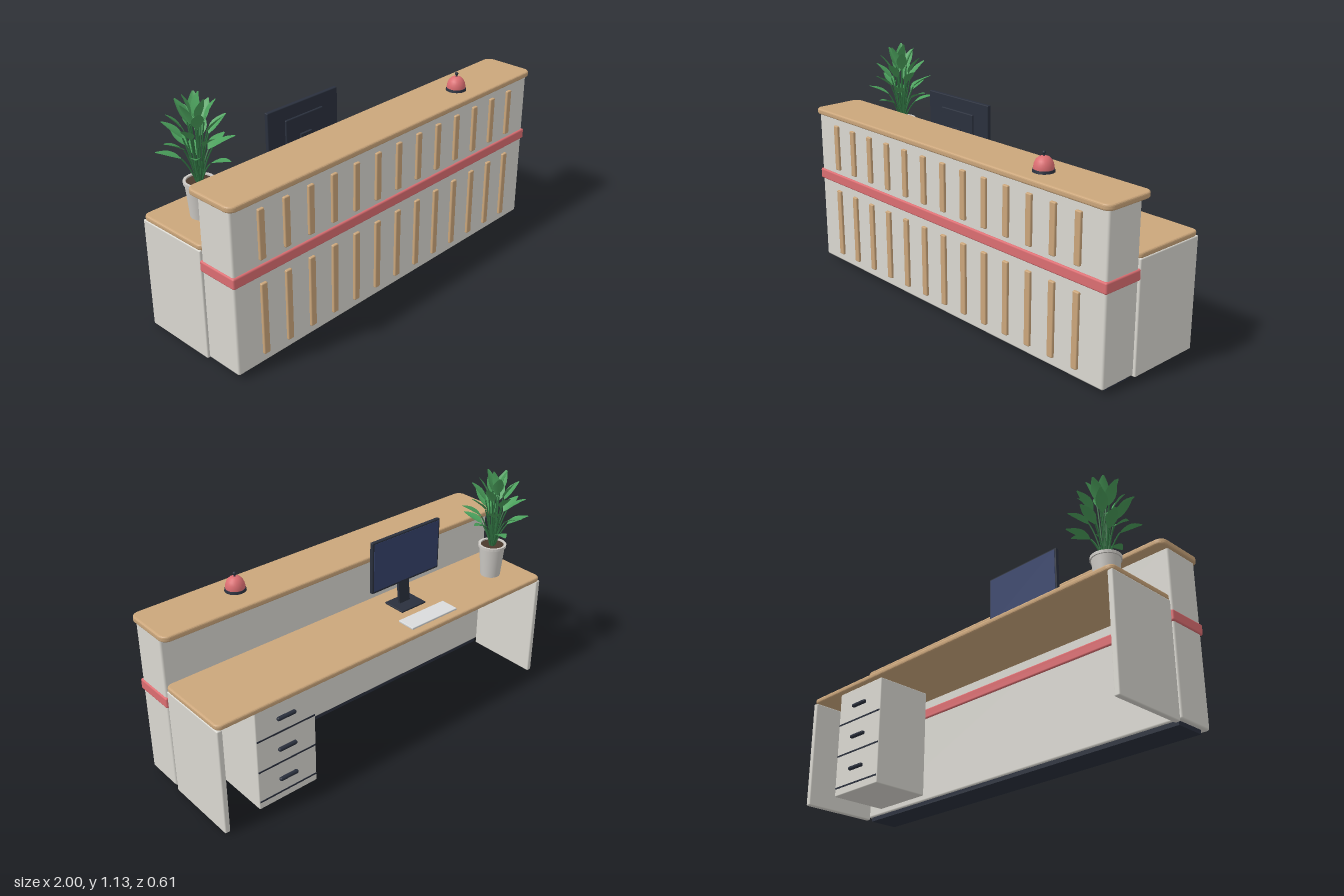
import * as THREE from 'three';
import { RoundedBoxGeometry } from 'three/addons/geometries/RoundedBoxGeometry.js';

const material = (name, color, side = THREE.FrontSide) => {
  const m = new THREE.MeshStandardMaterial({ color, side });
  m.name = name;
  return m;
};

export function createModel() {
  const wood = material('wood', 0xcba67b);
  const panel = material('panel white', 0xdad8d1);
  const coral = material('coral', 0xdc6e72);
  const dark = material('dark charcoal', 0x2a303d);
  const screenBlue = material('screen blue', 0x35426b);
  const leafGreen = material('leaf green', 0x4a9f5b, THREE.DoubleSide);
  const stemGreen = material('stem green', 0x2f7040);
  const potGrey = material('pot grey', 0xcdcac5);
  const keyGrey = material('keyboard grey', 0xd9dbdc);
  const soilBrown = material('soil brown', 0x4a392c);

  const model = new THREE.Group();
  model.name = 'receptionDesk';

  const add = (parent, name, geometry, mat, x = 0, y = 0, z = 0) => {
    const mesh = new THREE.Mesh(geometry, mat);
    mesh.name = name;
    mesh.position.set(x, y, z);
    parent.add(mesh);
    return mesh;
  };
  const group = (name, x = 0, y = 0, z = 0) => {
    const g = new THREE.Group();
    g.name = name;
    g.position.set(x, y, z);
    model.add(g);
    return g;
  };
  // Box given by its limits on each axis, with optional rounded edges
  const box = (parent, name, mat, [x0, x1], [y0, y1], [z0, z1], r = 0) => {
    const s = [x1 - x0, y1 - y0, z1 - z0];
    const geo = r ? new RoundedBoxGeometry(...s, 2, r) : new THREE.BoxGeometry(...s);
    return add(parent, name, geo, mat, (x0 + x1) / 2, (y0 + y1) / 2, (z0 + z1) / 2);
  };
  // Horizontal board with rounded plan corners and soft edges
  const slab = (name, mat, hx, [y0, y1], [z0, z1], corner) => {
    const b = 0.009, w = hx - b, d = (z1 - z0) / 2 - b, c = corner - b;
    const s = new THREE.Shape();
    s.absarc(w - c, d - c, c, 0, Math.PI / 2);
    s.absarc(-w + c, d - c, c, Math.PI / 2, Math.PI);
    s.absarc(-w + c, -d + c, c, Math.PI, Math.PI * 1.5);
    s.absarc(w - c, -d + c, c, Math.PI * 1.5, Math.PI * 2);
    const geo = new THREE.ExtrudeGeometry(s, {
      depth: y1 - y0 - 2 * b, bevelThickness: b, bevelSize: b, bevelSegments: 3, curveSegments: 6,
    });
    geo.rotateX(-Math.PI / 2);
    return add(model, name, geo, mat, 0, y0 + b, (z0 + z1) / 2);
  };

  // Front counter
  box(model, 'plinth', dark, [-0.965, 0.965], [0, 0.03], [0.095, 0.245]);
  box(model, 'counterBody', panel, [-0.985, 0.985], [0.02, 0.81], [0.088, 0.284], 0.01);
  box(model, 'accentBand', coral, [-0.992, 0.992], [0.453, 0.505], [0.08, 0.293], 0.008);
  slab('counterTop', wood, 1, [0.803, 0.832], [0.033, 0.304], 0.04);

  // Two rows of decorative slats
  const slats = group('slats');
  for (let i = 0; i < 13; i++) {
    const x = -0.832 + i * 0.1387;
    for (const y of [[0.53, 0.765], [0.065, 0.417]])
      box(slats, 'slat', wood, [x - 0.0165, x + 0.0165], y, [0.278, 0.297], 0.005);
  }

  // Work desk behind the counter
  slab('deskTop', wood, 0.985, [0.543, 0.57], [-0.306, 0.088], 0.03);
  for (const s of [-1, 1])
    box(model, 'sidePanel', panel, [s * 0.972 - 0.0135, s * 0.972 + 0.0135], [0.004, 0.545], [-0.304, 0.078], 0.006);

  // Drawer unit facing the back
  const drawers = group('drawerUnit');
  box(drawers, 'drawerCabinet', panel, [0.466, 0.786], [0.01, 0.545], [-0.28, 0.01], 0.005);
  for (const y of [0.05, 0.213, 0.376]) {
    box(drawers, 'drawerGap', dark, [0.47, 0.782], [y - 0.004, y + 0.004], [-0.282, -0.276]);
    box(drawers, 'drawerHandle', dark, [0.576, 0.676], [y + 0.066, y + 0.084], [-0.296, -0.276], 0.008);
  }

  // Monitor, its screen towards the back
  const monitor = group('monitor', -0.272, 0, 0);
  box(monitor, 'monitorBase', dark, [-0.077, 0.077], [0.57, 0.579], [-0.123, 0], 0.003);
  const neck = box(monitor, 'monitorNeck', dark, [-0.033, 0.033], [0.572, 0.81], [-0.047, -0.033]);
  neck.rotation.x = 0.1;
  box(monitor, 'monitorFrame', dark, [-0.214, 0.214], [0.695, 0.958], [-0.061, -0.041], 0.004);
  box(monitor, 'monitorBackCover', dark, [-0.114, 0.114], [0.755, 0.895], [-0.045, -0.032], 0.004);
  box(monitor, 'screen', screenBlue, [-0.205, 0.205], [0.706, 0.95], [-0.0625, -0.0595]);

  box(model, 'keyboard', keyGrey, [-0.417, -0.127], [0.569, 0.58], [-0.268, -0.172], 0.003);

  // Call bell
  const bell = group('callBell', 0.535, 0.832, 0.185);
  add(bell, 'bellBase', new THREE.CylinderGeometry(0.047, 0.05, 0.012, 28), dark, 0, 0.006, 0);
  const dome = [[0.045, 0.011], [0.045, 0.022], [0.042, 0.036], [0.035, 0.051], [0.024, 0.062], [0.012, 0.067], [0, 0.068]];
  add(bell, 'bellDome', new THREE.LatheGeometry(dome.map(p => new THREE.Vector2(...p)), 28), coral);
  add(bell, 'bellStem', new THREE.CylinderGeometry(0.004, 0.004, 0.018, 10), dark, 0, 0.074, 0);
  add(bell, 'bellButton', new THREE.SphereGeometry(0.008, 12, 8), dark, 0, 0.082, 0);

  // Potted plant
  const plant = group('pottedPlant', -0.813, 0.57, -0.117);
  add(plant, 'pot', new THREE.CylinderGeometry(0.064, 0.05, 0.158, 24), potGrey, 0, 0.079, 0);
  const rim = [[0.058, 0.156], [0.07, 0.156], [0.07, 0.17], [0.058, 0.17], [0.058, 0.156]];
  const rimGeo = new THREE.LatheGeometry(rim.map(p => new THREE.Vector2(...p)), 24).toNonIndexed();
  rimGeo.computeVertexNormals();
  add(plant, 'potRim', rimGeo, potGrey);
  add(plant, 'soil', new THREE.CylinderGeometry(0.059, 0.059, 0.006, 24), soilBrown, 0, 0.16, 0);

  // Leaf blade: a grid narrowed to an oval, folded along its midrib and drooping at the tip
  const L = 0.11;
  const leafGeo = new THREE.PlaneGeometry(1, 1, 6, 2).rotateX(-Math.PI / 2);
  const p = leafGeo.attributes.position;
  for (let i = 0; i < p.count; i++) {
    const t = p.getX(i) + 0.5, side = p.getZ(i) * 2;
    const half = 0.004 + 0.023 * Math.sin(Math.PI * Math.pow(t, 0.85));
    p.setXYZ(i, t * L, Math.abs(side) * half * 0.3 - 0.012 * t * t, side * half);
  }
  leafGeo.computeVertexNormals();

  // Stems fan out in a spiral, from upright in the middle to nearly flat outside
  const count = 25;
  for (let i = 0; i < count; i++) {
    const phi = 0.06 + 1.2 * Math.pow(i / (count - 1), 0.8);
    const r = 0.178 * Math.pow(Math.sin(phi), 0.85);
    const h = 0.165 + 0.392 * Math.cos(phi);
    const e = 1.52 - phi * 0.9;
    const sx = r - L * Math.cos(e), sy = h - L * Math.sin(e) + 0.008;
    const branch = new THREE.Group();
    branch.name = 'leafBranch';
    branch.rotation.y = i * 2.4;
    const curve = new THREE.QuadraticBezierCurve3(
      new THREE.Vector3(0.012, 0.158, 0),
      new THREE.Vector3(sx * 0.4 + 0.006, 0.16 + (sy - 0.16) * 0.65, 0),
      new THREE.Vector3(sx, sy, 0));
    add(branch, 'stem', new THREE.TubeGeometry(curve, 6, 0.0035, 5), stemGreen);
    add(branch, 'leaf', leafGeo, leafGreen, sx, sy, 0).rotation.z = e;
    plant.add(branch);
  }
  return model;
}
